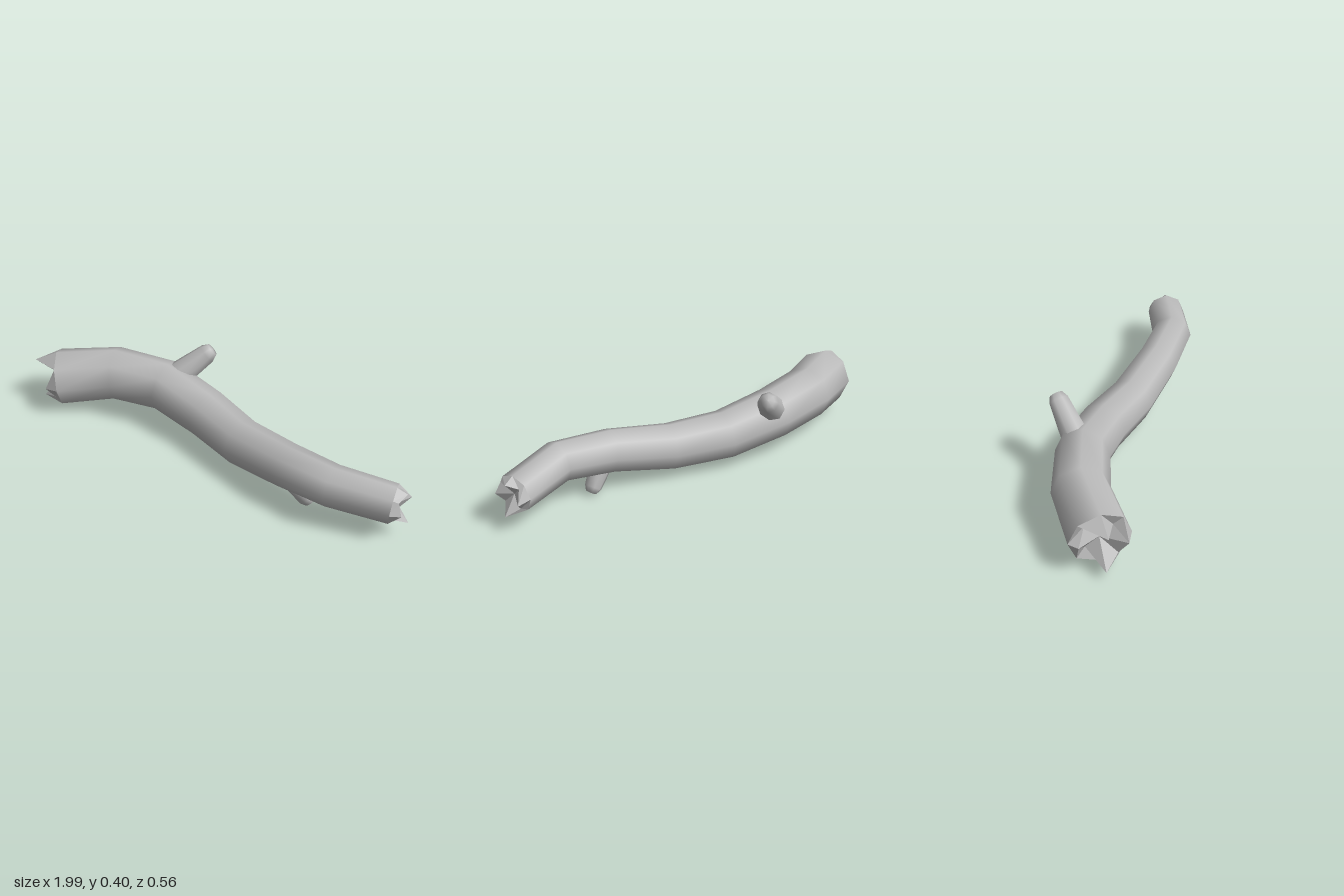
import * as THREE from 'three';

const SIDES = 8;
const UP = new THREE.Vector3(0, 1, 0);

// Points of one ring around a centre, counter-clockwise about dir
function ringPoints(center, dir, radiusAt, liftAt = () => 0) {
  const side = new THREE.Vector3().crossVectors(UP, dir).normalize();
  const top = new THREE.Vector3().crossVectors(dir, side);
  return Array.from({ length: SIDES }, (_, j) => {
    const a = (j / SIDES) * Math.PI * 2;
    return center.clone()
      .addScaledVector(side, Math.cos(a) * radiusAt(j))
      .addScaledVector(top, Math.sin(a) * radiusAt(j))
      .addScaledVector(dir, liftAt(j));
  });
}

// Each station is [x, y, z, radius]; directions follow neighbouring stations
function stationFrames(stations) {
  const centers = stations.map(([x, y, z]) => new THREE.Vector3(x, y, z));
  return stations.map((s, i) => ({
    center: centers[i],
    radius: s[3],
    dir: new THREE.Vector3().subVectors(
      centers[Math.min(i + 1, centers.length - 1)], centers[Math.max(i - 1, 0)]).normalize(),
  }));
}

// Smooth tapering limb through the stations
function limbGeometry(frames) {
  const pos = [], index = [];
  for (const f of frames) {
    for (const p of ringPoints(f.center, f.dir, () => f.radius)) pos.push(p.x, p.y, p.z);
  }
  for (let i = 0; i < frames.length - 1; i++) {
    for (let j = 0; j < SIDES; j++) {
      const a = i * SIDES + j, b = i * SIDES + (j + 1) % SIDES;
      index.push(a, b, a + SIDES, b, b + SIDES, a + SIDES);
    }
  }
  const g = new THREE.BufferGeometry();
  g.setAttribute('position', new THREE.Float32BufferAttribute(pos, 3));
  g.setIndex(index);
  g.computeVertexNormals();
  return g;
}

// Faceted broken end: a rim, a ring of uneven teeth and a sunken heart
function brokenEndGeometry(frame, dir, radii, lifts, sink) {
  const rim = ringPoints(frame.center, dir, () => frame.radius);
  const teeth = ringPoints(frame.center, dir, j => radii[j], j => lifts[j]);
  const heart = frame.center.clone().addScaledVector(dir, sink);
  const pts = [];
  for (let j = 0; j < SIDES; j++) {
    const k = (j + 1) % SIDES;
    pts.push(rim[j], rim[k], teeth[j], rim[k], teeth[k], teeth[j], teeth[j], teeth[k], heart);
  }
  const g = new THREE.BufferGeometry().setFromPoints(pts);
  g.computeVertexNormals();
  return g;
}

export function createModel() {
  const group = new THREE.Group();
  const bark = new THREE.MeshStandardMaterial({ color: 0xbbbbbb });
  bark.name = 'bark grey';
  const splinter = bark;
  splinter.side = THREE.DoubleSide;
  const add = (name, geometry) => {
    const m = new THREE.Mesh(geometry, bark);
    m.name = name;
    group.add(m);
  };

  // Winding trunk, thick at the right and thin at the left
  const trunk = stationFrames([
    [-0.88, 0.17, 0.04, 0.137],
    [-0.63, 0.207, -0.075, 0.129],
    [-0.37, 0.205, -0.107, 0.124],
    [-0.11, 0.165, -0.055, 0.117],
    [0.14, 0.153, 0.045, 0.11],
    [0.415, 0.195, 0.14, 0.102],
    [0.665, 0.213, 0.19, 0.096],
    [0.93, 0.185, 0.137, 0.09],
  ]);
  add('trunk', limbGeometry(trunk));

  // Splintered ends
  const thick = trunk[0], thin = trunk[trunk.length - 1];
  add('thickBrokenEnd', brokenEndGeometry(thick, thick.dir.clone().negate(),
    [0.107, 0.08, 0.105, 0.09, 0.1, 0.08, 0.1, 0.1],
    [0.06, -0.01, 0.11, -0.02, 0.035, -0.02, 0.105, 0.035], -0.01));
  add('thinBrokenEnd', brokenEndGeometry(thin, thin.dir,
    [0.078, 0.07, 0.07, 0.075, 0.072, 0.068, 0.08, 0.068],
    [0.065, 0.02, 0.05, 0.025, 0.05, 0.02, 0.08, 0.025], 0.005));

  // Stubby side branches with bevelled tips
  const upper = stationFrames([
    [-0.35, 0.23, -0.125, 0.07],
    [-0.212, 0.365, -0.234, 0.048],
    [-0.192, 0.385, -0.25, 0.032],
    [-0.19, 0.387, -0.252, 0.0001],
  ]);
  const lower = stationFrames([
    [0.44, 0.16, 0.155, 0.056],
    [0.521, 0.046, 0.135, 0.039],
    [0.535, 0.025, 0.133, 0.025],
    [0.537, 0.022, 0.133, 0.0001],
  ]);
  add('upperBranch', limbGeometry(upper));
  add('lowerBranch', limbGeometry(lower));
  return group;
}
